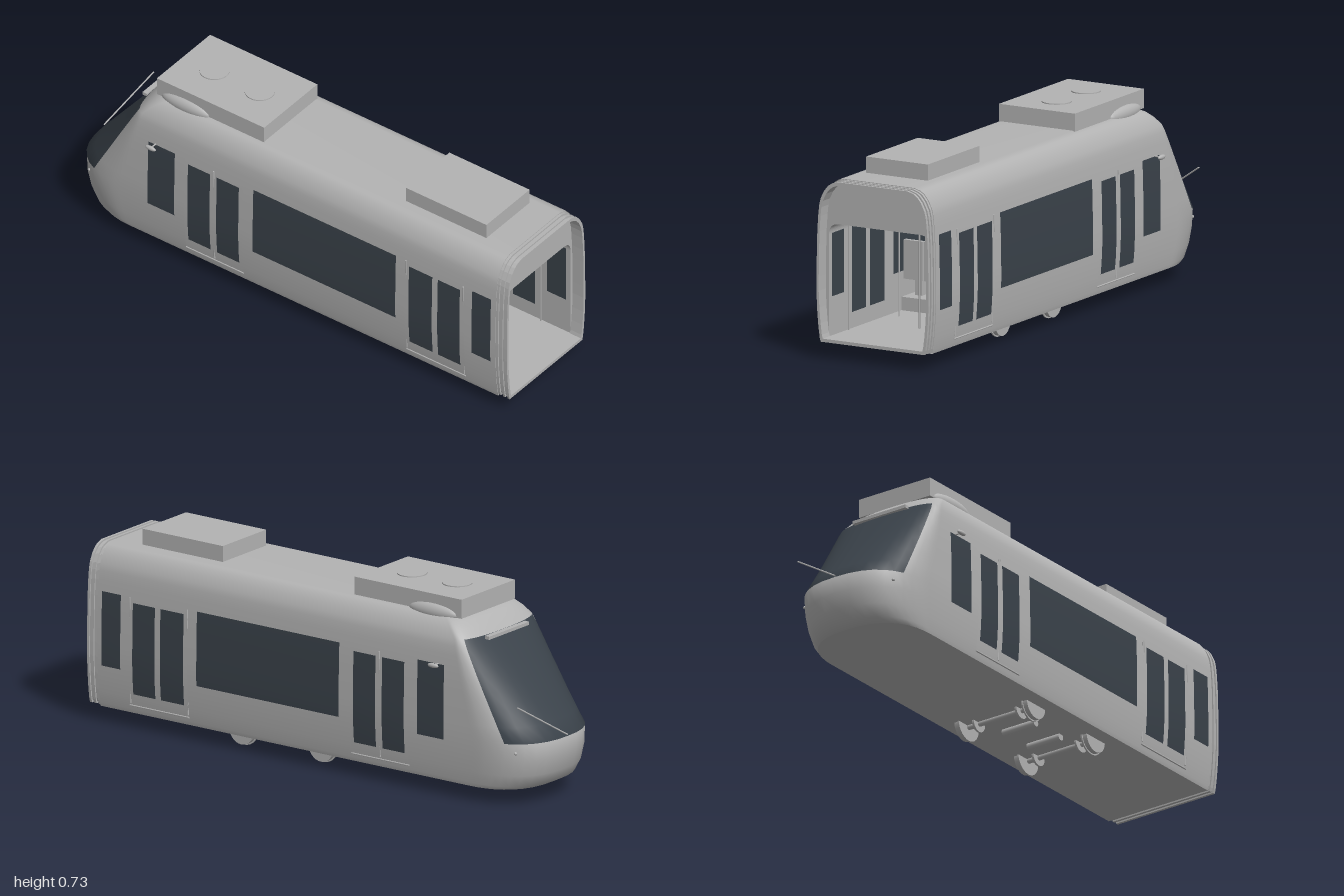
import * as THREE from 'three';

const mat = (name, color, side = THREE.DoubleSide) => {
  const m = new THREE.MeshStandardMaterial({ color, side });
  m.name = name;
  return m;
};

// Body rows from sill to roof: [height, half width, nose tip z, nose rounding depth]
const ROWS = [
  [0.06, 0.222, -0.93, 0.22], [0.075, 0.226, -0.96, 0.24], [0.12, 0.232, -0.985, 0.25],
  [0.18, 0.237, -0.998, 0.25], [0.245, 0.24, -1, 0.25],
];
const GLASS_FROM = ROWS.length - 1;
[[0.3, 0.24], [0.36, 0.239], [0.42, 0.238], [0.48, 0.236], [0.54, 0.232], [0.575, 0.228], [0.6, 0.222]].forEach(([y, w]) => {
  const t = (y - 0.245) / 0.355;
  ROWS.push([y, w, -1 + 0.286 * t, 0.25 - 0.19 * t]);
});
const GLASS_TO = ROWS.length - 1;
ROWS.push([0.63, 0.207, -0.685, 0.06], [0.65, 0.19, -0.66, 0.06], [0.66, 0.175, -0.64, 0.06], [0.668, 0.15, -0.61, 0.05]);

function sideX(y) {
  const i = Math.max(1, ROWS.findIndex((r) => r[0] >= y));
  const a = ROWS[i - 1], b = ROWS[i];
  return a[1] + ((b[1] - a[1]) * (y - a[0])) / (b[0] - a[0]);
}

function buildGeometry(positions, index) {
  const g = new THREE.BufferGeometry();
  g.setAttribute('position', new THREE.Float32BufferAttribute(positions, 3));
  g.setIndex(index);
  g.computeVertexNormals();
  return g;
}

// Shell: horizontal slices, each running from the open end round the nose and back
function shellGeometry() {
  const angles = [0, 0.06, 0.15, 0.3, 0.455, 0.62, 0.8, 1, 1.2, 1.4, Math.PI / 2];
  const pos = [], body = [], glass = [];
  ROWS.forEach(([y, w, tip, depth]) => {
    const half = [[w, 0.95], [w, -0.2]];
    angles.forEach((a) => half.push([
      w * Math.pow(Math.max(0, Math.cos(a)), 0.8),
      tip + depth - depth * Math.pow(Math.sin(a), 0.8)]));
    half[half.length - 1][0] = 0;
    const line = [...half, ...half.slice(0, -1).reverse().map(([x, z]) => [-x, z])];
    line.forEach(([x, z]) => pos.push(x, y, z));
  });
  const n = (angles.length + 2) * 2 - 1, edge = 6, top = (ROWS.length - 1) * n;
  for (let i = 0; i < ROWS.length - 1; i++) {
    for (let j = 0; j < n - 1; j++) {
      const a = i * n + j, b = a + 1, c = a + n, d = c + 1;
      const isGlass = i >= GLASS_FROM && i < GLASS_TO && j >= edge && j < n - 1 - edge;
      (isGlass ? glass : body).push(a, b, c, b, d, c);
    }
  }
  // Roof shares the top row; underside gets its own corners to stay crisp
  const under = pos.length / 3;
  pos.push(...pos.slice(0, n * 3));
  for (let j = 0; j < (n - 1) / 2; j++) {
    const m = n - 1 - j;
    body.push(top + j, top + j + 1, top + m, top + j + 1, top + m - 1, top + m);
    body.push(under + j, under + m, under + j + 1, under + j + 1, under + m, under + m - 1);
  }
  const g = buildGeometry(pos, [...body, ...glass]);
  g.addGroup(0, body.length, 0);
  g.addGroup(body.length, glass.length, 1);
  return g;
}

// Thin plate that follows the curved side wall
function sidePlate(side, z0, z1, y0, y1, off) {
  const ys = [y0, ...ROWS.map((r) => r[0]).filter((y) => y > y0 + 0.001 && y < y1 - 0.001), y1];
  const pos = [], idx = [];
  ys.forEach((y, i) => {
    const x = side * (sideX(y) + off);
    pos.push(x, y, z0, x, y, z1);
    if (i) {
      const a = i * 2 - 2;
      if (side > 0) idx.push(a, a + 1, a + 2, a + 1, a + 3, a + 2);
      else idx.push(a, a + 2, a + 1, a + 1, a + 2, a + 3);
    }
  });
  return buildGeometry(pos, idx);
}

// Body cross-section scaled about its middle
function section(k) {
  const half = ROWS.map(([y, w]) => new THREE.Vector2(w * k, 0.364 + (y - 0.364) * k));
  return [...half, ...half.map((p) => new THREE.Vector2(-p.x, p.y)).reverse()];
}

function cabinOutline() {
  const s = new THREE.Shape();
  s.moveTo(-0.214, 0.075).lineTo(0.214, 0.075).lineTo(0.214, 0.455);
  s.quadraticCurveTo(0.212, 0.495, 0.17, 0.495).lineTo(-0.17, 0.495);
  s.quadraticCurveTo(-0.212, 0.495, -0.214, 0.455).lineTo(-0.214, 0.075);
  return s;
}

export function createModel() {
  const paint = mat('grey paint', 0xb3b3b3);
  const dark = mat('dark glass', 0x3a424a);
  const model = new THREE.Group();
  model.name = 'tram';

  const add = (name, geo, material = paint, x = 0, y = 0, z = 0) => {
    const m = new THREE.Mesh(geo, material);
    m.name = name;
    m.position.set(x, y, z);
    model.add(m);
    return m;
  };
  const box = (name, x0, x1, y0, y1, z0, z1, material) =>
    add(name, new THREE.BoxGeometry(x1 - x0, y1 - y0, z1 - z0), material, (x0 + x1) / 2, (y0 + y1) / 2, (z0 + z1) / 2);
  const rod = (name, from, to, r, sides = 8) => {
    const a = new THREE.Vector3(...from), b = new THREE.Vector3(...to), d = b.clone().sub(a);
    const m = add(name, new THREE.CylinderGeometry(r, r, d.length(), sides));
    m.position.copy(a).add(b).multiplyScalar(0.5);
    m.quaternion.setFromUnitVectors(new THREE.Vector3(0, 1, 0), d.normalize());
    return m;
  };

  add('body shell and windscreen', shellGeometry(), [paint, dark]);

  // Cabin lining with the open end wall, and the cab bulkhead
  const lining = new THREE.Shape(section(0.994));
  lining.holes.push(cabinOutline());
  add('cabin lining', new THREE.ExtrudeGeometry(lining, { depth: 1.4, bevelEnabled: false }), paint, 0, 0, -0.45);
  add('cab bulkhead', new THREE.ShapeGeometry(cabinOutline()), paint, 0, 0, -0.449);

  // Ribbed gangway bellows
  for (let i = 0; i < 5; i++) {
    const rib = new THREE.Shape(section(i % 2 ? 0.965 : 0.985));
    rib.holes.push(new THREE.Path(section(0.945)));
    add('gangway rib', new THREE.ExtrudeGeometry(rib, { depth: 0.01, bevelEnabled: false }), paint, 0, 0, 0.95 + i * 0.01);
  }

  // Windows, doors and door rails on both sides
  const windows = [
    [0.93, 0.845, 0.22, 0.5], [0.79, 0.69, 0.135, 0.48], [0.665, 0.56, 0.135, 0.48], [0.5, -0.145, 0.22, 0.5],
    [-0.21, -0.31, 0.135, 0.48], [-0.34, -0.44, 0.135, 0.48], [-0.5, -0.62, 0.22, 0.5],
  ];
  for (const s of [1, -1]) {
    windows.forEach(([z0, z1, y0, y1]) => {
      add('side window', sidePlate(s, z0, z1, y0, y1, 0.003), dark);
      if (z1 > -0.45) {
        const inner = add('inner window', new THREE.PlaneGeometry(z0 - z1, 0.455 - y0), dark, s * 0.2125, (0.455 + y0) / 2, (z0 + z1) / 2);
        inner.rotation.y = -s * Math.PI / 2;
      }
    });
    [[0.81, 0.542], [-0.195, -0.455]].forEach(([z0, z1]) => {
      add('door', sidePlate(s, z0, z1, 0.09, 0.5, 0.0015));
      rod('door sill', [s * 0.23, 0.09, z0], [s * 0.23, 0.09, z1], 0.003);
    });
    [0.805, 0.545, -0.325].forEach((z) => rod('door rail', [s * 0.232, 0.1, z], [s * 0.238, 0.5, z], 0.003));

    // Mirror
    rod('mirror arm', [s * 0.23, 0.5, -0.59], [s * 0.265, 0.5, -0.59], 0.003);
    add('mirror', new THREE.SphereGeometry(1, 16, 10), paint, s * 0.265, 0.5, -0.59).scale.set(0.008, 0.009, 0.024);

    // Roof fairing beside the equipment box
    add('roof fairing', new THREE.SphereGeometry(1, 20, 12), paint, s * 0.155, 0.665, -0.51).scale.set(0.026, 0.032, 0.11);

    add('marker lamp', new THREE.SphereGeometry(0.006, 10, 8), paint, s * 0.2, 0.21, -0.915);
  }

  // Roof equipment
  box('rear roof box', -0.16, 0.16, 0.66, 0.732, -0.64, -0.155);
  box('front roof box', -0.13, 0.13, 0.66, 0.728, 0.465, 0.828);
  [-0.5, -0.295].forEach((z) => add('roof fan', new THREE.CylinderGeometry(0.055, 0.055, 0.006, 28), paint, 0, 0.733, z));

  // Windscreen fittings
  box('windscreen top bar', -0.12, 0.12, 0.588, 0.6, -0.735, -0.715);
  rod('wiper', [0, 0.25, -1], [0.215, 0.39, -0.935], 0.003);

  // Running gear
  [0.355, -0.005].forEach((z) => {
    rod('axle', [-0.15, 0.055, z], [0.15, 0.055, z], 0.01, 12);
    for (const s of [1, -1]) {
      rod('wheel', [s * 0.142, 0.062, z], [s * 0.164, 0.062, z], 0.055, 28);
      rod('wheel flange', [s * 0.14, 0.062, z], [s * 0.146, 0.062, z], 0.06, 28);
      rod('brake disc', [s * 0.092, 0.058, z], [s * 0.1, 0.058, z], 0.034, 20);
    }
  });
  [0.1, 0.25].forEach((z) => rod('underfloor motor', [-0.085, 0.05, z], [0.06, 0.05, z], 0.014, 14));

  // Cabin furniture
  for (const s of [1, -1]) {
    const sx = (name, a, b, ...rest) => box(name, Math.min(s * a, s * b), Math.max(s * a, s * b), ...rest);
    sx('seat plinth', 0.04, 0.213, 0.075, 0.125, -0.08, 0.44);
    [[0.42, -1], [-0.06, 1]].forEach(([z, d]) => {
      [[0.046, 0.127], [0.132, 0.212]].forEach(([a, b]) => {
        sx('seat back', a, b, 0.19, 0.335, z - 0.008, z + 0.008);
        sx('seat cushion', a, b, 0.19, 0.206, Math.min(z, z + d * 0.09), Math.max(z, z + d * 0.09));
        sx('seat leg', (a + b) / 2 - 0.015, (a + b) / 2 + 0.015, 0.125, 0.19, z + d * 0.045 - 0.015, z + d * 0.045 + 0.015);
      });
    });
    rod('grab pole', [s * 0.17, 0.075, 0.53], [s * 0.17, 0.49, 0.53], 0.003);
    rod('grab pole', [s * 0.208, 0.075, 0.82], [s * 0.208, 0.485, 0.82], 0.003);
  }
  rod('centre pole', [0, 0.075, 0.67], [0, 0.495, 0.67], 0.003);
  rod('centre pole', [0, 0.075, -0.32], [0, 0.495, -0.32], 0.003);
  box('display frame', -0.062, 0.062, 0.432, 0.48, -0.449, -0.43);
  box('display screen', -0.057, 0.057, 0.437, 0.475, -0.431, -0.427, dark);
  box('bulkhead window', -0.16, -0.06, 0.335, 0.405, -0.448, -0.442, dark);

  return model;
}
